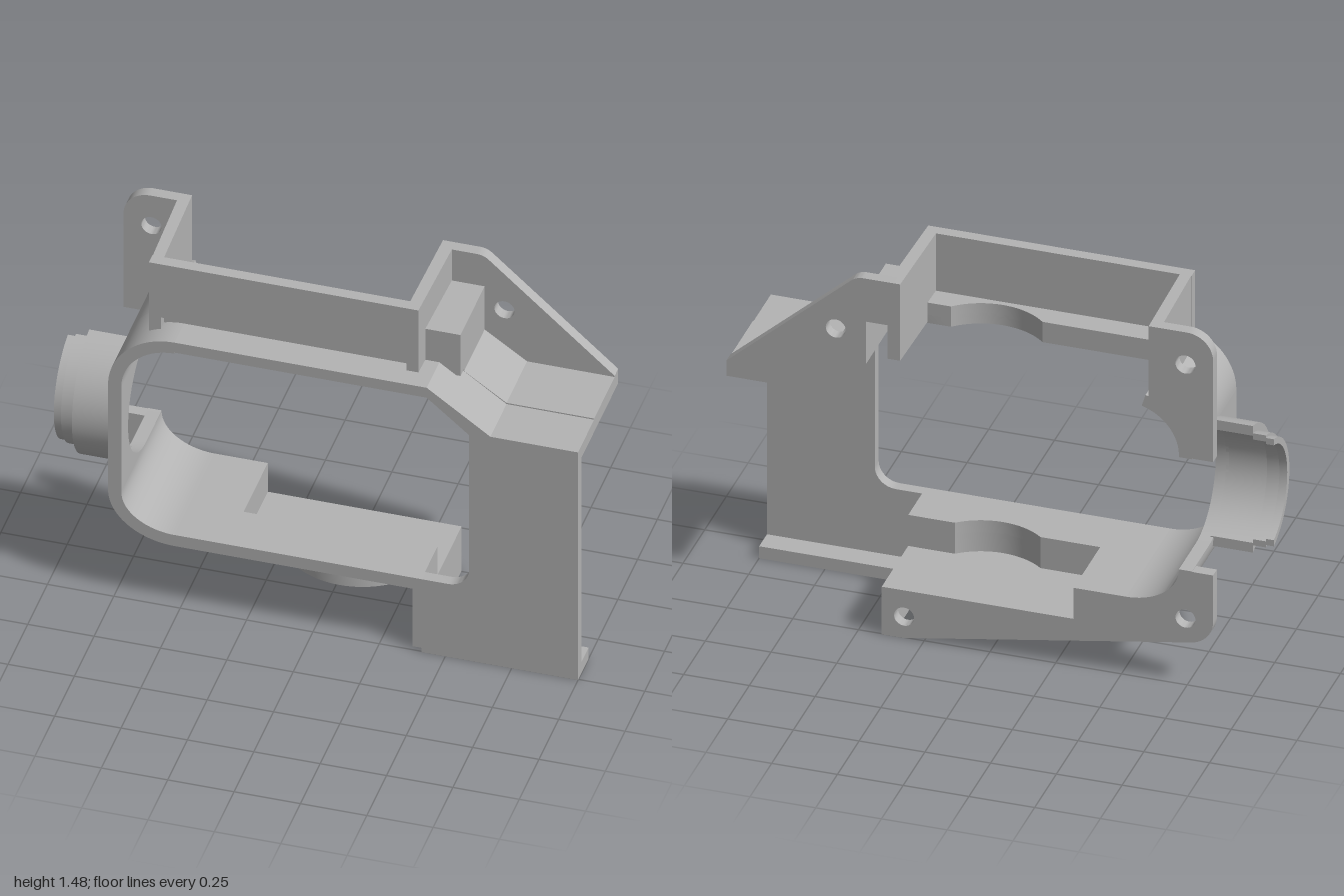
import * as THREE from 'three';
import { toCreasedNormals } from 'three/addons/utils/BufferGeometryUtils.js';

const BACK = -0.255, FRONT = 0.255;

export function createModel() {
  const model = new THREE.Group();
  const grey = new THREE.MeshStandardMaterial({ color: 0xb3b3b3 });
  grey.name = 'grey';

  const add = (name, geo) => {
    const mesh = new THREE.Mesh(geo, grey);
    mesh.name = name;
    model.add(mesh);
  };
  const shapeOf = pts => new THREE.Shape(pts.map(p => new THREE.Vector2(p[0], p[1])));
  const arc = (cx, cy, rx, ry, a0, a1, n = 24) => Array.from({ length: n + 1 }, (_, i) => {
    const a = THREE.MathUtils.degToRad(a0 + (a1 - a0) * i / n);
    return [cx + rx * Math.cos(a), cy + ry * Math.sin(a)];
  });
  const extrude = (pts, depth, holes = []) => {
    const s = shapeOf(pts);
    for (const [x, y, r] of holes) s.holes.push(new THREE.Path().absarc(x, y, r, 0, Math.PI * 2));
    return new THREE.ExtrudeGeometry(s, { depth, bevelEnabled: false, curveSegments: 16 });
  };
  const crease = g => toCreasedNormals(g, 0.5);
  // outlines in the XY, ZY and XZ planes, pushed along the remaining axis
  const alongZ = (name, pts, z0, z1, holes) =>
    add(name, crease(extrude(pts, z1 - z0, holes).translate(0, 0, z0)));
  const alongX = (name, pts, x0, x1) =>
    add(name, crease(extrude(pts, x1 - x0).rotateY(-Math.PI / 2).translate(x1, 0, 0)));
  const alongY = (name, pts, y0, y1) =>
    add(name, crease(extrude(pts, y1 - y0).rotateX(Math.PI / 2).translate(0, y1, 0)));
  const box = (name, x0, x1, y0, y1, z0, z1) =>
    add(name, new THREE.BoxGeometry(x1 - x0, y1 - y0, z1 - z0)
      .translate((x0 + x1) / 2, (y0 + y1) / 2, (z0 + z1) / 2));

  // rounded corners of the window frame
  const corner = (name, cy, ry, a0, a1, z0, z1) => alongZ(name, [
    ...arc(-0.52, cy, 0.25, ry, a0, a1),
    ...arc(-0.52, cy, 0.2, ry - 0.05, a1, a0)], z0, z1);
  corner('upperCornerFront', 0.96, 0.24, 90, 180, 0.04, FRONT);
  corner('upperCornerBack', 0.96, 0.24, 107, 180, BACK, 0.04);
  corner('lowerCorner', 0.48, 0.2, 180, 270, BACK, FRONT);

  // side wall, cut away round the port
  alongX('portWall', [[FRONT, 0.48], [FRONT, 0.96], [BACK, 0.96], [BACK, 0.952],
    ...arc(-0.06, 0.717, 0.23, 0.235, 90, -90), [BACK, 0.482], [BACK, 0.48]], -0.77, -0.72);

  // stepped half collar of the port
  for (const [x0, x1, R, r] of [[-1, -0.97, 0.23, 0.205], [-0.97, -0.92, 0.24, 0.215], [-0.92, -0.76, 0.27, 0.23]]) {
    const a = THREE.MathUtils.radToDeg(Math.acos(0.05 / R));
    const b = THREE.MathUtils.radToDeg(Math.acos(0.05 / r));
    alongX('portCollar', [...arc(-0.06, 0.717, R, R, -a, a), ...arc(-0.06, 0.717, r, r, b, -b)], x0, x1);
  }

  // top wall and shelf with the round bearing cut
  const span = THREE.MathUtils.radToDeg(Math.acos(0.185 / 0.254));
  const cut = arc(0.07, -0.145, 0.254, 0.254, 90 - span, 90 + span);
  alongY('topWall', [[-0.52, FRONT], [0.43, FRONT], [0.43, 0.05], [0.33, 0.04], ...cut, [-0.52, 0.04]], 1.155, 1.2);
  alongY('topShelf', [[-0.6, 0.135], [0.34, 0.135], [0.34, 0.04], ...cut, [-0.6, 0.04]], 1.19, 1.24);

  // open box standing on the top wall
  box('topBoxFront', -0.64, 0.375, 1.24, 1.48, 0.13, 0.175);
  box('topBoxFrontFoot', -0.64, -0.595, 1.13, 1.24, 0.13, 0.175);
  box('topBoxFrontFoot', 0.33, 0.375, 1.19, 1.24, 0.13, 0.175);
  alongY('topBoxRightWall', [[-0.65, BACK], [-0.605, BACK], [-0.595, 0.175], [-0.637, 0.175]], 1.155, 1.48);
  alongY('topBoxLeftWall', [[0.34, BACK], [0.388, BACK], [0.375, 0.175], [0.33, 0.175]], 1.16, 1.48);

  // hollow block beside the box
  box('blockFront', 0.37, 0.51, 1.155, 1.34, 0.05, 0.095);
  box('blockSide', 0.47, 0.51, 1.13, 1.34, BACK, 0.05);
  box('blockTop', 0.37, 0.51, 1.3, 1.34, BACK, 0.05);

  // sloping shoulder and upper wall of the open side
  alongZ('shoulderWall', [[0.43, 1.2], [0.43, 1.155], [0.645, 0.975], [1, 0.975], [1, 1.03], [0.67, 1.03]], 0.05, FRONT);
  alongZ('shoulderWall', [[0.47, 1.172], [0.47, 1.122], [0.645, 0.975], [1, 0.975], [1, 1.035], [0.67, 1.035]], BACK, 0.05);

  // front plate with the window edge, and its foot lip
  alongZ('frontPlate', [[0.41, 0], [1, 0], [1, 1.02], [0.67, 1.02], [0.43, 1.2], [0.43, 1.155], [0.59, 1.02],
    ...arc(0.51, 0.41, 0.08, 0.08, 0, -90, 12), [0.41, 0.33]], 0.21, FRONT);
  box('footLip', 0.41, 1, 0, 0.05, 0.12, 0.21);

  // bottom wall with the recess and bearing cut
  const lowSpan = THREE.MathUtils.radToDeg(Math.acos(0.195 / 0.254));
  const lowCut = arc(0.07, -0.145, 0.254, 0.254, 90 - lowSpan, 90 + lowSpan);
  alongY('bottomWall', [[-0.52, FRONT], [0.41, FRONT], [0.41, 0.05], ...lowCut, [-0.32, 0.05],
    [-0.32, BACK], [-0.52, BACK]], 0.28, 0.33);

  // recess tray with its rounded boss
  const outSpan = THREE.MathUtils.radToDeg(Math.acos(0.235 / 0.295));
  const boss = arc(0.07, -0.145, 0.295, 0.295, 90 + outSpan, 90 - outSpan);
  const trayOuter = [[-0.36, BACK], [-0.36, 0.09], ...boss, [0.41, 0.09]];
  alongY('trayFloor', [...trayOuter, [0.41, BACK]], 0.155, 0.2);
  alongY('trayWall', [...trayOuter, [0.41, 0.05], ...lowCut, [-0.32, 0.05], [-0.32, BACK]], 0.2, 0.285);

  // end wall below the window
  alongX('endWall', [[BACK, 0], [0.23, 0], [0.23, 0.33], [0.05, 0.33], [0.05, 0.2], [BACK, 0.2]], 0.37, 0.41);

  // mounting flanges with screw holes
  alongZ('upperRightFlange', [[-0.85, 0.955], [-0.74, 0.955], ...arc(-0.52, 0.96, 0.22, 0.21, 180, 114, 12),
    [-0.62, 1.48], ...arc(-0.75, 1.38, 0.1, 0.1, 90, 180, 12)], BACK, -0.21, [[-0.745, 1.345, 0.038]]);
  alongZ('lowerFlange', [[-0.85, 0.48], ...arc(-0.75, 0.282, 0.1, 0.1, 180, 260, 12), [0.33, 0], [0.41, 0],
    [0.41, 0.2], [-0.32, 0.2], [-0.32, 0.3], ...arc(-0.52, 0.48, 0.22, 0.18, 270, 180, 12)],
    BACK, -0.21, [[-0.745, 0.28, 0.038], [0.325, 0.09, 0.038]]);
  alongZ('upperLeftFlange', [[0.36, 1.48], [0.36, 1.3], [0.47, 1.3], [0.47, 1.15], [0.65, 1], [1, 1], [1, 1.04],
    ...arc(0.48, 1.41, 0.07, 0.07, 49, 90, 8)], BACK, -0.21, [[0.585, 1.25, 0.038]]);

  return model;
}
